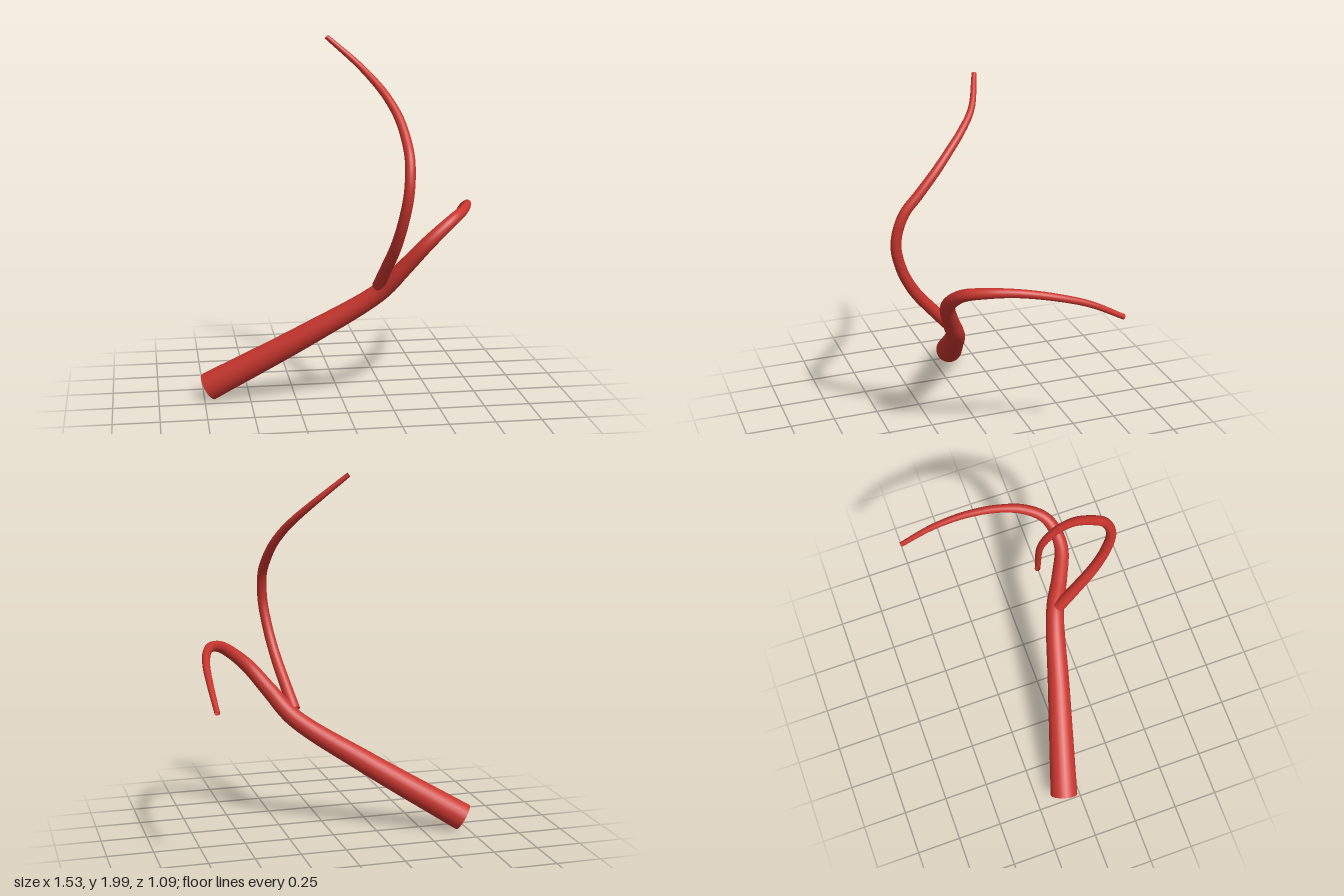
import * as THREE from 'three';

const vesselRed = new THREE.MeshStandardMaterial({ color: 0xc9362e, side: THREE.DoubleSide });
vesselRed.name = 'vesselRed';

// Open tube along a smooth path; radii are [position along the path, radius] keys
function taperedTube(name, points, radii, segments) {
  const curve = new THREE.CatmullRomCurve3(points.map(p => new THREE.Vector3(...p)));
  const geo = new THREE.TubeGeometry(curve, segments, 1, 24, false);
  const radiusAt = t => {
    let i = 0;
    while (i < radii.length - 2 && t > radii[i + 1][0]) i++;
    const [t0, r0] = radii[i], [t1, r1] = radii[i + 1];
    return THREE.MathUtils.lerp(r0, r1, (t - t0) / (t1 - t0));
  };
  const { position, normal, uv } = geo.attributes;
  const n = new THREE.Vector3();
  for (let i = 0; i < position.count; i++) {
    const t = uv.getX(i);
    n.fromBufferAttribute(normal, i).multiplyScalar(radiusAt(t));
    const p = curve.getPointAt(t).add(n);
    position.setXYZ(i, p.x, p.y, p.z);
  }
  const mesh = new THREE.Mesh(geo, vesselRed);
  mesh.name = name;
  return mesh;
}

export function createModel() {
  const group = new THREE.Group();
  group.name = 'branchingVessel';

  // Thick trunk that thins, arches over and runs to the back
  group.add(taperedTube('mainVessel', [
    [-0.725, 0.07, -0.095], [-0.2, 0.39, 0.06], [0.18, 0.645, 0.172],
    [0.3, 0.79, 0.24], [0.42, 0.935, 0.29], [0.55, 1.04, 0.255],
    [0.63, 1.072, 0.16], [0.685, 1.075, 0.02], [0.725, 1.045, -0.16],
    [0.743, 0.985, -0.35], [0.746, 0.885, -0.54],
  ], [[0, 0.078], [0.25, 0.063], [0.43, 0.05], [0.59, 0.038], [0.76, 0.023], [1, 0.014]], 96));

  // Thin side branch rising from the fork
  group.add(taperedTube('sideBranch', [
    [0.172, 0.685, 0.19], [0.195, 0.8, 0.29], [0.225, 0.95, 0.41],
    [0.25, 1.1, 0.485], [0.27, 1.25, 0.515], [0.28, 1.4, 0.475],
    [0.275, 1.5, 0.39], [0.253, 1.6, 0.295], [0.21, 1.69, 0.205],
    [0.165, 1.755, 0.135], [0.08, 1.85, 0.045], [-0.075, 1.988, -0.026],
  ], [[0, 0.034], [0.25, 0.029], [0.55, 0.026], [0.8, 0.02], [1, 0.013]], 80));

  return group;
}
